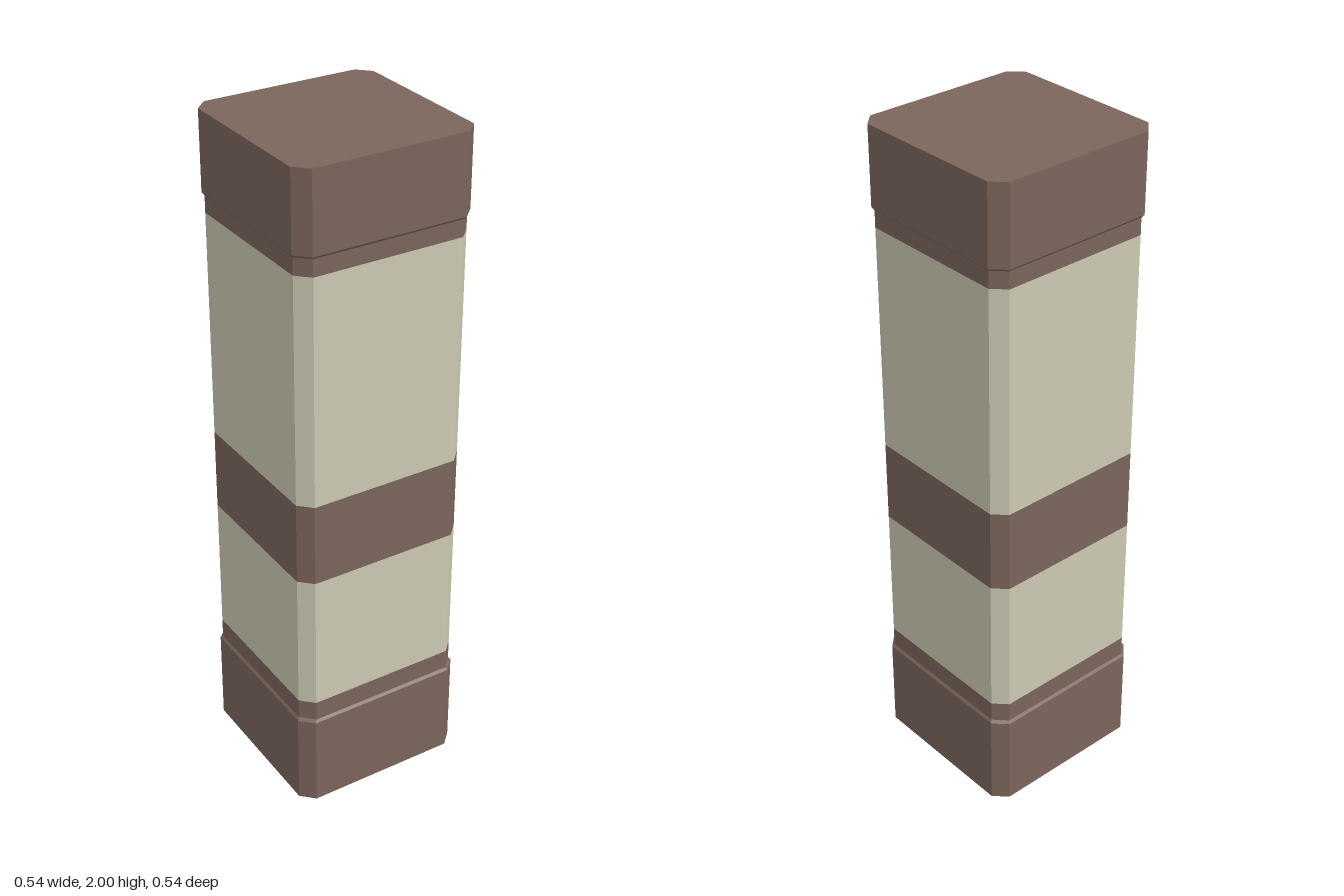
import * as THREE from 'three';

const BROWN = 0x7b665c, CREAM = 0xcccab2;
const CAP = [0.27, 0.232], SHAFT = [0.264, 0.227]; // half width, half width of the flat face

// Corners of a chamfered square, counter-clockwise seen from above
function ring([h, f], y) {
  return [[h, f], [h, -f], [f, -h], [-f, -h], [-h, -f], [-h, f], [-f, h], [f, h]]
    .map(([x, z]) => [x, y, z]);
}

// Walls between stacked rings, with optional end faces
function loft(sections, closeBottom = false, closeTop = false) {
  const rings = sections.map(([size, y]) => ring(size, y));
  const points = [];
  const n = 8;
  for (let r = 0; r < rings.length - 1; r++) {
    const lo = rings[r], hi = rings[r + 1];
    for (let i = 0; i < n; i++) {
      const j = (i + 1) % n;
      points.push(lo[i], lo[j], hi[j], lo[i], hi[j], hi[i]);
    }
  }
  const bottom = rings[0], top = rings[rings.length - 1];
  for (let i = 1; i < n - 1; i++) {
    if (closeBottom) points.push(bottom[0], bottom[i + 1], bottom[i]);
    if (closeTop) points.push(top[0], top[i], top[i + 1]);
  }
  const geometry = new THREE.BufferGeometry();
  geometry.setAttribute('position', new THREE.Float32BufferAttribute(points.flat(), 3));
  geometry.computeVertexNormals();
  return geometry;
}

export function createModel() {
  const group = new THREE.Group();
  group.name = 'bandedPillar';
  const brown = new THREE.MeshStandardMaterial({ color: BROWN, flatShading: true });
  const cream = new THREE.MeshStandardMaterial({ color: CREAM, flatShading: true });
  const add = (name, geometry, material) => {
    const mesh = new THREE.Mesh(geometry, material);
    mesh.name = name;
    group.add(mesh);
  };

  // Wider base stepping in to the shaft
  add('base', loft([[CAP, 0], [CAP, 0.29], [SHAFT, 0.298], [SHAFT, 0.36]], true), brown);
  // Shaft with a dark band
  add('lowerPanel', loft([[SHAFT, 0.36], [SHAFT, 0.78]]), cream);
  add('middleBand', loft([[SHAFT, 0.78], [SHAFT, 1.03]]), brown);
  add('upperPanel', loft([[SHAFT, 1.03], [SHAFT, 1.71]]), cream);
  // Wider cap on top
  add('cap', loft([[SHAFT, 1.71], [SHAFT, 1.76], [CAP, 1.768], [CAP, 2]], false, true), brown);
  return group;
}
